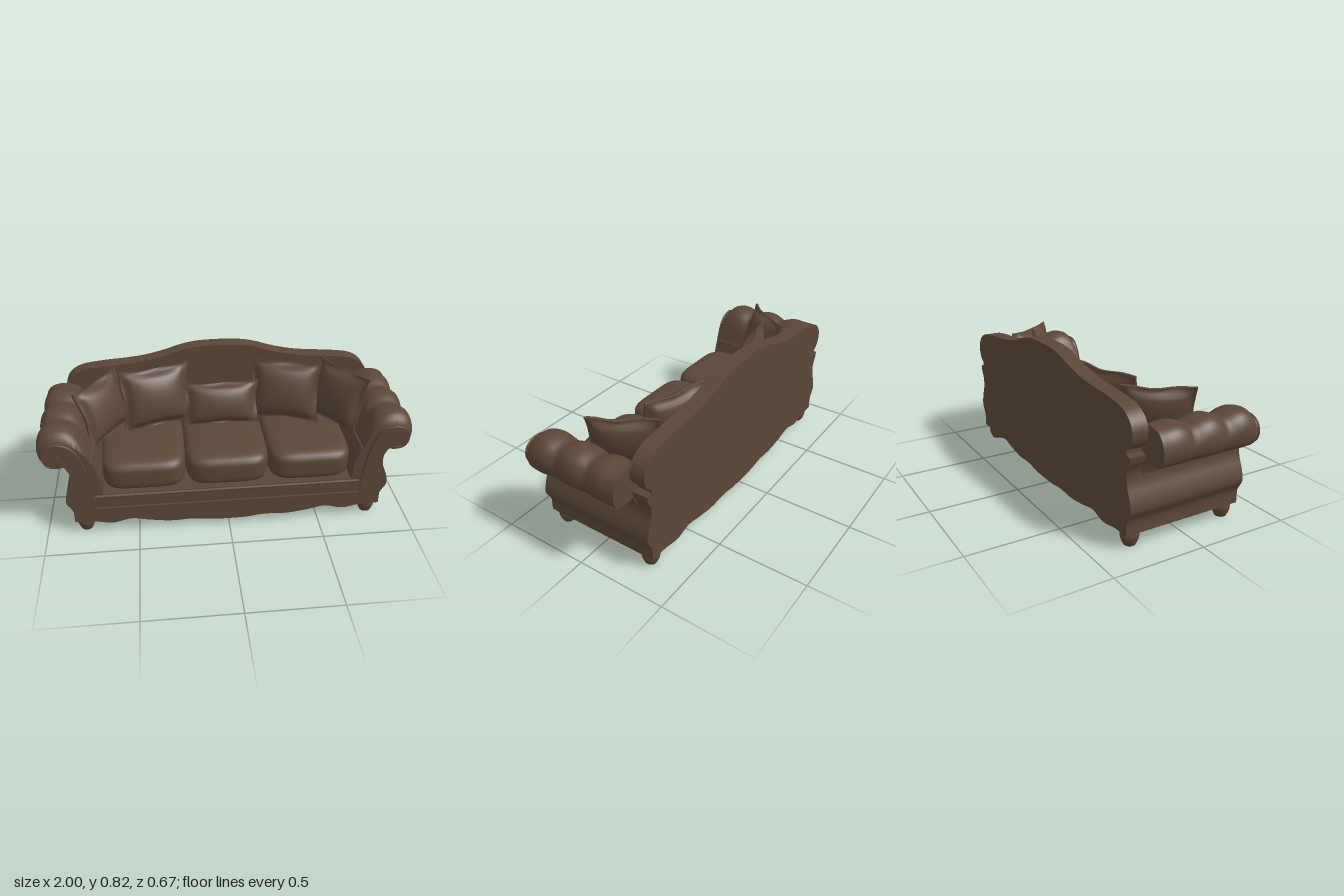
import * as THREE from 'three';
import { mergeVertices, toCreasedNormals } from 'three/addons/utils/BufferGeometryUtils.js';

const leather = new THREE.MeshStandardMaterial({ color: 0x5b4637 });
leather.name = 'brown leather';

// smooth run of points through a short list of [x, y]
function curve(list, n = 40) {
  return new THREE.SplineCurve(list.map(p => new THREE.Vector2(p[0], p[1]))).getPoints(n);
}

// closed outline pushed from z0 to z1, optional vertex rule, soft creases
function slab(points, z0, z1, { steps = 1, rule, crease = 0.6 } = {}) {
  const geo = new THREE.ExtrudeGeometry(new THREE.Shape(points), { depth: z1 - z0, steps, bevelEnabled: false });
  geo.translate(0, 0, z0);
  if (rule) {
    const p = geo.attributes.position, v = new THREE.Vector3();
    for (let i = 0; i < p.count; i++) {
      rule(v.fromBufferAttribute(p, i));
      p.setXYZ(i, v.x, v.y, v.z);
    }
  }
  return toCreasedNormals(geo, crease);
}

const flip = (points, s) => points.map(p => new THREE.Vector2(p.x * s, p.y));
// right half outline (centre to centre) completed by its mirror image
const mirrored = half => [...half, ...flip(half, -1).reverse().filter(p => Math.abs(p.x) > 1e-4)];

// box pushed toward a rounded pad
function pad(w, h, d, power) {
  let geo = new THREE.BoxGeometry(2, 2, 2, 18, 12, 18);
  geo.deleteAttribute('uv');
  geo.deleteAttribute('normal');
  geo = mergeVertices(geo);
  const p = geo.attributes.position;
  for (let i = 0; i < p.count; i++) {
    const a = [p.getX(i), p.getY(i), p.getZ(i)];
    const big = Math.max(...a.map(Math.abs));
    const norm = Math.pow(a.reduce((s, c) => s + Math.pow(Math.abs(c), power), 0), 1 / power);
    const k = big / norm;
    p.setXYZ(i, a[0] * k * w / 2, a[1] * k * h / 2, a[2] * k * d / 2);
  }
  geo.computeVertexNormals();
  return geo;
}

// stuffed pillow with a thin, slightly wavy flange and pointed corners
function pillowGeometry(w, h, t) {
  const geo = new THREE.BoxGeometry(2, 2, 2, 28, 28, 1);
  const p = geo.attributes.position;
  for (let i = 0; i < p.count; i++) {
    const u = p.getX(i), v = p.getY(i), side = p.getZ(i);
    const fu = Math.max(0, 1 - (u / 0.87) ** 2), fv = Math.max(0, 1 - (v / 0.87) ** 2);
    const puff = 0.006 + t / 2 * Math.pow(fu * fv, 0.42);
    const edge = Math.max(Math.abs(u), Math.abs(v)) ** 8;
    p.setXYZ(i,
      w / 2 * u * (1 - 0.07 * (1 - v * v)),
      h / 2 * v * (1 - 0.08 * (1 - u * u)),
      side * puff + 0.008 * edge * Math.sin(5 * u + 4 * v));
  }
  geo.computeVertexNormals();
  return geo;
}

export function createModel() {
  const sofa = new THREE.Group();
  sofa.name = 'sofa';
  const add = (name, geo, parent = sofa) => {
    const m = new THREE.Mesh(geo, leather);
    m.name = name;
    parent.add(m);
    return m;
  };

  // wavy bottom edge and curved flank shared by body, apron and back
  const hem = curve([[0, 0.035], [0.1, 0.038], [0.2, 0.05], [0.32, 0.046], [0.44, 0.062],
    [0.54, 0.08], [0.64, 0.058], [0.74, 0.075], [0.845, 0.078]], 36);
  const flank = curve([[0.845, 0.078], [0.846, 0.15], [0.877, 0.21], [0.868, 0.27],
    [0.842, 0.34], [0.84, 0.4], [0.862, 0.445]], 24);
  const V = (x, y) => new THREE.Vector2(x, y);

  // body with seat deck
  add('body', slab(mirrored([...hem, ...flank.slice(1), V(0.72, 0.44), V(0.69, 0.34), V(0.68, 0.24), V(0, 0.24)]),
    -0.33, 0.312));

  // back panel with humped top and rounded shoulders
  const crest = curve([[0.83, 0.505], [0.868, 0.54], [0.88, 0.6], [0.85, 0.66], [0.78, 0.7], [0.66, 0.718],
    [0.54, 0.727], [0.43, 0.74], [0.32, 0.765], [0.2, 0.802], [0.1, 0.817], [0, 0.82]], 50);
  add('backrest', slab(mirrored([...hem, ...flank.slice(1), V(0.865, 0.48), V(0.83, 0.485), ...crest]), -0.335, -0.25));

  // front apron and recessed rail above it
  add('apron', slab(mirrored([...hem, V(0.845, 0.16), V(0, 0.16)]), 0.3, 0.334));
  add('seatRail', slab(mirrored([V(0, 0.15), V(0.74, 0.15), V(0.74, 0.225), V(0, 0.225)]), 0.3, 0.322));
  add('railPiping', new THREE.CylinderGeometry(0.009, 0.009, 1.44, 10).rotateZ(Math.PI / 2).translate(0, 0.228, 0.315));

  // arms
  const roll = curve([[0.862, 0.44], [0.94, 0.441], [0.982, 0.47], [0.992, 0.53], [0.96, 0.59], [0.9, 0.612],
    [0.83, 0.6], [0.775, 0.55], [0.735, 0.46], [0.705, 0.36], [0.685, 0.25]], 46);
  const scroll = curve([[0.862, 0.445], [0.9, 0.44], [0.945, 0.452], [0.967, 0.5], [0.95, 0.55], [0.9, 0.578],
    [0.84, 0.567], [0.795, 0.52], [0.765, 0.44], [0.745, 0.34], [0.735, 0.25], [0.73, 0.15]], 46);
  const puffRule = v => {
    // three tufts along the arm, rounded off at the front
    const seams = [-0.25, -0.06, 0.13, 0.311];
    const k = v.z < seams[1] ? 0 : v.z < seams[2] ? 1 : 2;
    const f = THREE.MathUtils.clamp((v.z - seams[k]) / (seams[k + 1] - seams[k]), 0, 1);
    let bulge = Math.sin(Math.PI * f) * 0.028 - 0.008;
    if (v.z > 0.28) bulge -= ((v.z - 0.28) / 0.03) ** 2 * 0.025;
    if (k === 0 && f < 0.5) bulge = Math.max(bulge, 0.014);
    const sx = v.x < 0 ? -1 : 1, up = THREE.MathUtils.clamp((v.y - 0.46) / 0.12, 0, 1);
    const out = THREE.MathUtils.clamp((Math.abs(v.x) - 0.9) / 0.08, 0, 1);
    v.y += bulge * up;
    v.x += sx * bulge * 0.45 * out;
  };
  for (const [s, side] of [[1, 'left'], [-1, 'right']]) {
    const arm = new THREE.Group();
    arm.name = side + 'Arm';
    sofa.add(arm);
    add('armRoll', slab(flip([...roll, V(0.8, 0.25), V(0.84, 0.38)], s), -0.25, 0.311,
      { steps: 36, rule: puffRule, crease: 0.8 }), arm);
    add('armFront', slab(flip([...scroll, V(0.845, 0.15), ...flank.slice(4, -1)], s), 0.305, 0.334), arm);

    // raised welt following the scroll
    const welt = [[0.73, 0.16], [0.738, 0.28], [0.765, 0.44], [0.795, 0.52], [0.84, 0.566], [0.9, 0.576],
      [0.95, 0.55], [0.965, 0.5], [0.943, 0.455], [0.9, 0.452], [0.88, 0.49], [0.905, 0.52]]
      .map(p => new THREE.Vector3(p[0] * s, p[1], 0.331));
    add('armWelt', new THREE.TubeGeometry(new THREE.CatmullRomCurve3(welt), 60, 0.005, 6), arm);
  }

  // seat cushions
  for (const i of [-1, 0, 1]) {
    const c = add('seatCushion', pad(0.458, 0.185, 0.57, 5), sofa);
    c.position.set(i * 0.455, 0.328, 0.028);
  }

  // throw pillows: width, height, thickness, x, y, z, yaw, backward tilt
  const pillows = [
    ['middlePillow', 0.43, 0.25, 0.11, 0, 0.53, -0.1, 0, 0.3],
    ['largeLeftPillow', 0.4, 0.35, 0.13, 0.37, 0.58, -0.12, -0.27, 0.26],
    ['largeRightPillow', 0.4, 0.35, 0.13, -0.37, 0.58, -0.12, 0.27, 0.26],
    ['cornerLeftPillow', 0.36, 0.33, 0.12, 0.665, 0.57, -0.045, -0.98, 0.28],
    ['cornerRightPillow', 0.36, 0.33, 0.12, -0.665, 0.57, -0.045, 0.98, 0.28],
  ];
  for (const [name, w, h, t, x, y, z, yaw, tilt] of pillows) {
    const m = add(name, pillowGeometry(w, h, t));
    m.rotation.order = 'YXZ';
    m.rotation.set(-tilt, yaw, 0);
    m.position.set(x, y, z);
  }

  // bun feet
  const foot = [[0, 0], [0.03, 0], [0.038, 0.015], [0.046, 0.038], [0.048, 0.055], [0.042, 0.07], [0.042, 0.09], [0, 0.09]]
    .map(p => V(p[0], p[1]));
  for (const x of [-0.79, 0.79]) for (const z of [-0.28, 0.28]) {
    add('foot', new THREE.LatheGeometry(foot, 20)).position.set(x, 0, z);
  }
  return sofa;
}
